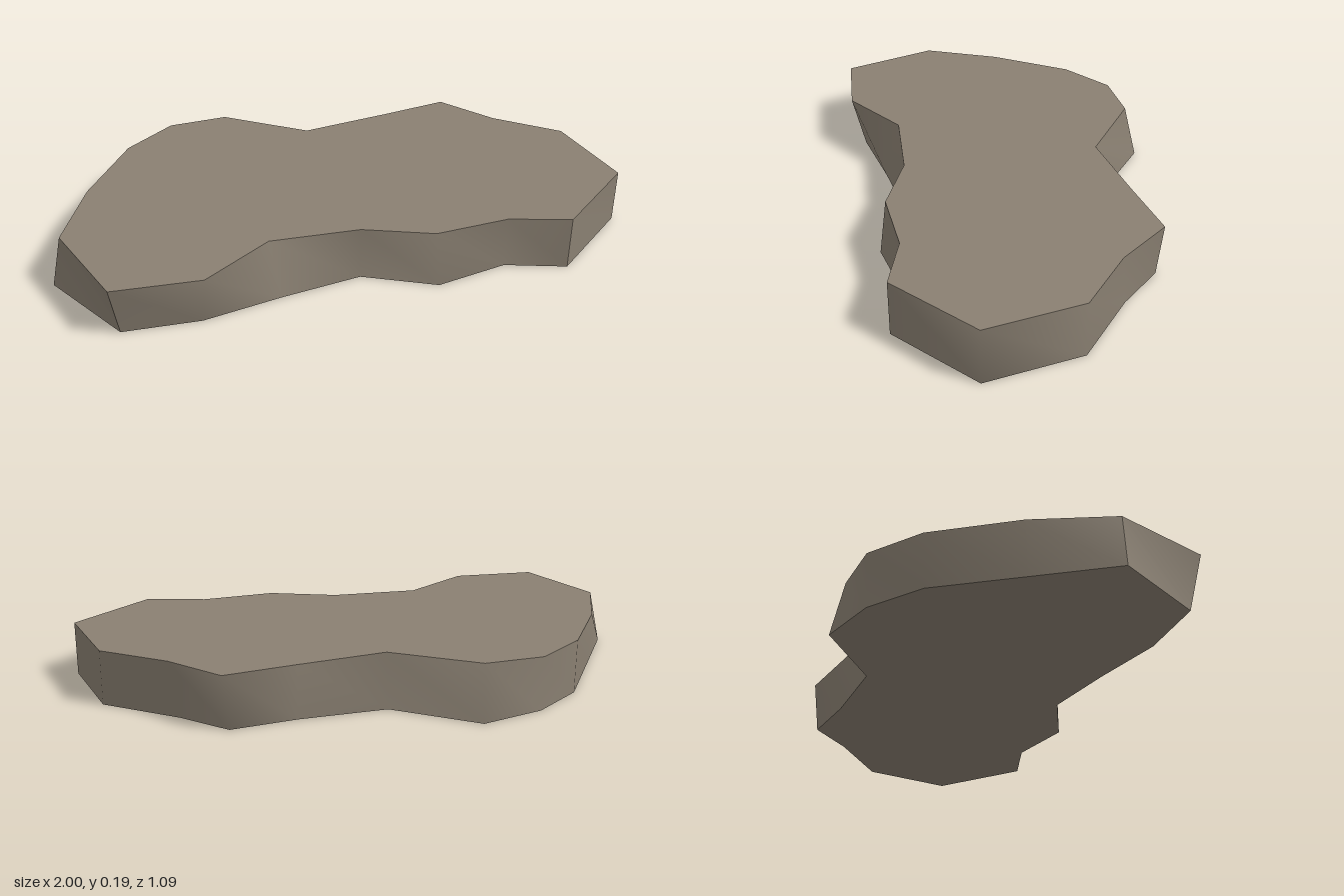
import * as THREE from 'three';
import { mergeGeometries } from 'three/addons/utils/BufferGeometryUtils.js';

const HEIGHT = 0.193;

// Outline corners, clockwise from above: [topX, topZ, bottomX, bottomZ]
const CORNERS = [
  [-0.96, 0.21, -1.0, 0.2],
  [-0.86, -0.06, -0.855, -0.056],
  [-0.7, -0.335, -0.7, -0.33],
  [-0.53, -0.475, -0.53, -0.47],
  [-0.32, -0.5, -0.31, -0.545],
  [-0.03, -0.33, -0.03, -0.36],
  [0.28, -0.394, 0.28, -0.39],
  [0.53, -0.45, 0.51, -0.435],
  [0.69, -0.28, 0.66, -0.3],
  [0.91, -0.13, 0.91, -0.13],
  [1.0, 0.2, 1.0, 0.2],
  [0.73, 0.453, 0.73, 0.453],
  [0.52, 0.405, 0.52, 0.4],
  [0.26, 0.44, 0.27, 0.466],
  [0.02, 0.365, 0.02, 0.365],
  [-0.29, 0.37, -0.26, 0.425],
  [-0.52, 0.54, -0.53, 0.495],
  [-0.82, 0.54, -0.795, 0.5],
];

// Corners with a sharp vertical edge; the wall is smooth between them
const SHARP = [0, 11, 17, 18];

function wallRun(from, to) {
  const positions = [];
  const index = [];
  for (let i = from; i <= to; i++) {
    const [tx, tz, bx, bz] = CORNERS[i % CORNERS.length];
    positions.push(bx, 0, bz, tx, HEIGHT, tz);
    if (i < to) {
      const b = (i - from) * 2;
      index.push(b, b + 1, b + 3, b, b + 3, b + 2);
    }
  }
  const geometry = new THREE.BufferGeometry();
  geometry.setAttribute('position', new THREE.Float32BufferAttribute(positions, 3));
  geometry.setIndex(index);
  geometry.computeVertexNormals();
  return geometry;
}

function flatShape(points) {
  return new THREE.ShapeGeometry(new THREE.Shape(points.map(([x, y]) => new THREE.Vector2(x, y))));
}

export function createModel() {
  const group = new THREE.Group();
  group.name = 'stoneSlab';
  const stone = new THREE.MeshStandardMaterial({ color: 0x8a8072 });
  stone.name = 'stone';

  const add = (name, geometry) => {
    const mesh = new THREE.Mesh(geometry, stone);
    mesh.name = name;
    group.add(mesh);
  };

  // Slanted side wall
  const runs = SHARP.slice(1).map((end, i) => wallRun(SHARP[i], end));
  add('sideWall', mergeGeometries(runs));

  // Flat top and underside
  const top = flatShape(CORNERS.map(([x, z]) => [x, -z]));
  add('topFace', top.rotateX(-Math.PI / 2).translate(0, HEIGHT, 0));
  const bottom = flatShape(CORNERS.map(([, , x, z]) => [x, z]));
  add('underside', bottom.rotateX(Math.PI / 2));

  return group;
}
